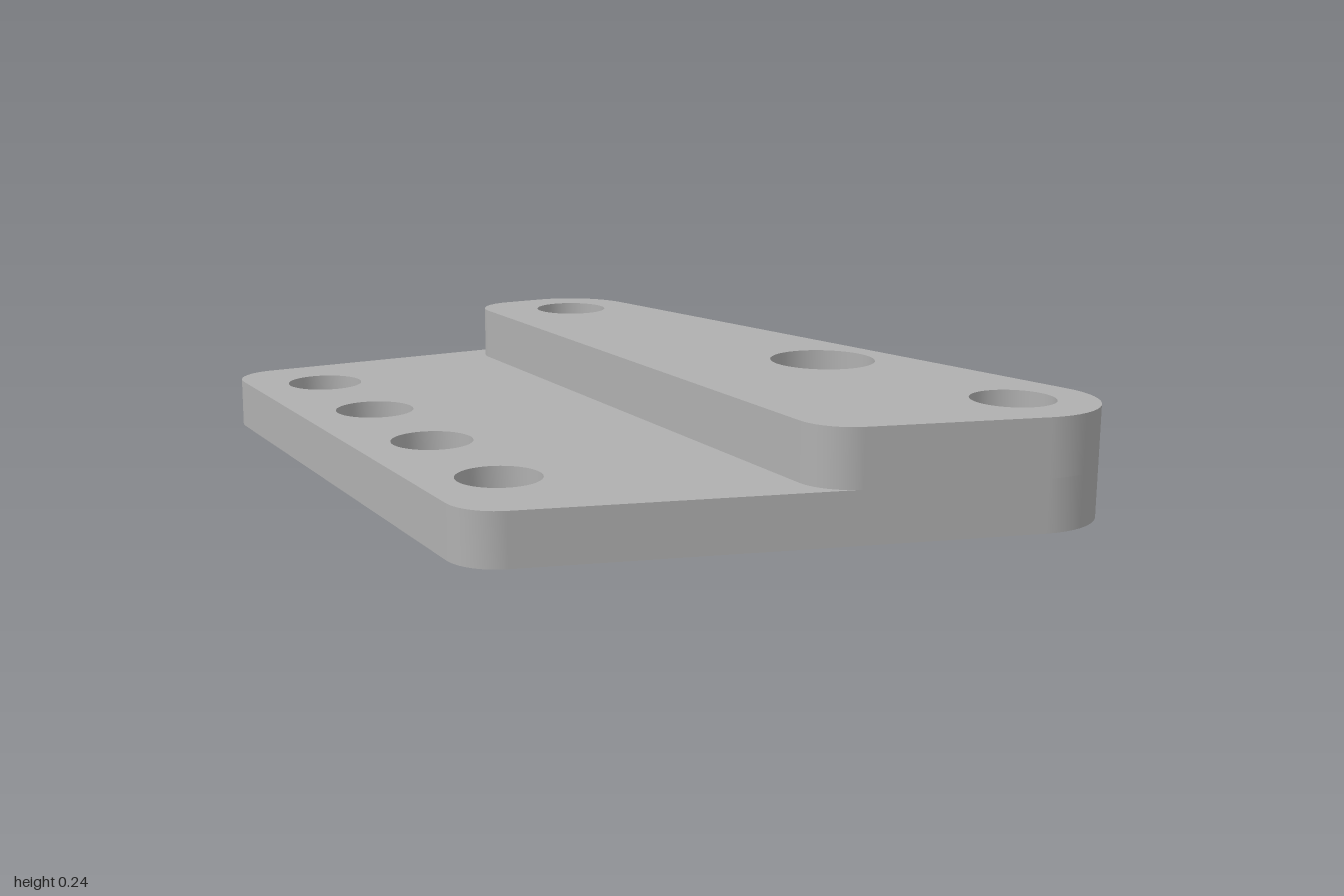
import * as THREE from 'three';

const STEP_Y = 0.115, TOP_Y = 0.242;
const V = (x, z) => new THREE.Vector2(x, z); // plan coordinates (x, z)

// Arc points that round one corner of a polygon
function roundCorner(prev, corner, next, r, n = 16) {
  const a = prev.clone().sub(corner).normalize();
  const b = next.clone().sub(corner).normalize();
  const half = Math.acos(a.dot(b)) / 2;
  const centre = a.clone().add(b).normalize().multiplyScalar(r / Math.sin(half)).add(corner);
  const start = corner.clone().addScaledVector(a, r / Math.tan(half)).sub(centre).angle();
  const sweep = Math.PI - 2 * half;
  return Array.from({ length: n + 1 }, (_, i) => {
    const t = start + sweep * i / n;
    return V(centre.x + r * Math.cos(t), centre.y + r * Math.sin(t));
  });
}

const cornerArcs = (corners, radii) => corners.map((c, i) =>
  roundCorner(corners[(i + 3) % 4], c, corners[(i + 1) % 4], radii[i]));

// Hole outline, wound opposite to the outer edge
const hole = (x, z, r, n = 48) => Array.from({ length: n }, (_, i) => {
  const t = -2 * Math.PI * i / n;
  return V(x + r * Math.cos(t), z + r * Math.sin(t));
});

// Flat horizontal face, facing up or down
function face(outline, holes, y, up) {
  const s = up ? -1 : 1;
  const flip = (pts) => pts.map((p) => V(p.x, s * p.y));
  const shape = new THREE.Shape(flip(outline));
  shape.holes = holes.map((h) => new THREE.Path(flip(h)));
  return new THREE.ShapeGeometry(shape).rotateX(s * Math.PI / 2).translate(0, y, 0);
}

// Smooth upright wall along a closed outline
function wall(pts, y0, y1) {
  const pos = [], idx = [], n = pts.length;
  pts.forEach((p, i) => {
    pos.push(p.x, y0, p.y, p.x, y1, p.y);
    const a = 2 * i, b = 2 * ((i + 1) % n);
    idx.push(a, b + 1, b, a, a + 1, b + 1);
  });
  const g = new THREE.BufferGeometry();
  g.setAttribute('position', new THREE.Float32BufferAttribute(pos, 3));
  g.setIndex(idx);
  g.computeVertexNormals();
  return g;
}

export function createModel() {
  const group = new THREE.Group();
  const grey = new THREE.MeshStandardMaterial({ color: 0xb0b0b0 });
  grey.name = 'plain grey';
  const add = (name, geometry) => {
    const mesh = new THREE.Mesh(geometry, grey);
    mesh.name = name;
    group.add(mesh);
  };

  // Outlines: the whole plate, the raised back and the lower front
  const bl = V(-0.854, -0.665), br = V(1.105, -0.665), fr = V(0.467, 0.668), fl = V(-1.017, 0.374);
  const stepRight = br.clone().lerp(fr, 0.519), stepLeft = bl.clone().lerp(fl, 0.3407);
  const base = cornerArcs([bl, br, fr, fl], [0.178, 0.18, 0.11, 0.11]);
  const raised = cornerArcs([bl, br, stepRight, stepLeft], [0.178, 0.18, 0.11, 0.11]);
  const ledge = [...base[2], ...base[3], ...raised[3].slice().reverse(), ...raised[2].slice().reverse()];

  // Three holes through the raised back, a slanted row of four in front
  const backHoles = [hole(-0.7, -0.49, 0.091), hole(0.257, -0.49, 0.121), hole(0.815, -0.49, 0.091)];
  const frontHoles = [0, 1, 2, 3].map((i) => hole(-0.776 + 0.3523 * i, 0.238 + 0.0715 * i, 0.091));

  add('underside', face(base.flat(), [...backHoles, ...frontHoles], 0, false));
  add('lowerLedge', face(ledge, frontHoles, STEP_Y, true));
  add('raisedTop', face(raised.flat(), backHoles, TOP_Y, true));
  add('baseEdge', wall(base.flat(), 0, STEP_Y));
  add('raisedEdge', wall(raised.flat(), STEP_Y, TOP_Y));
  backHoles.forEach((h) => add('backHole', wall(h, 0, TOP_Y)));
  frontHoles.forEach((h) => add('frontHole', wall(h, 0, STEP_Y)));
  return group;
}
